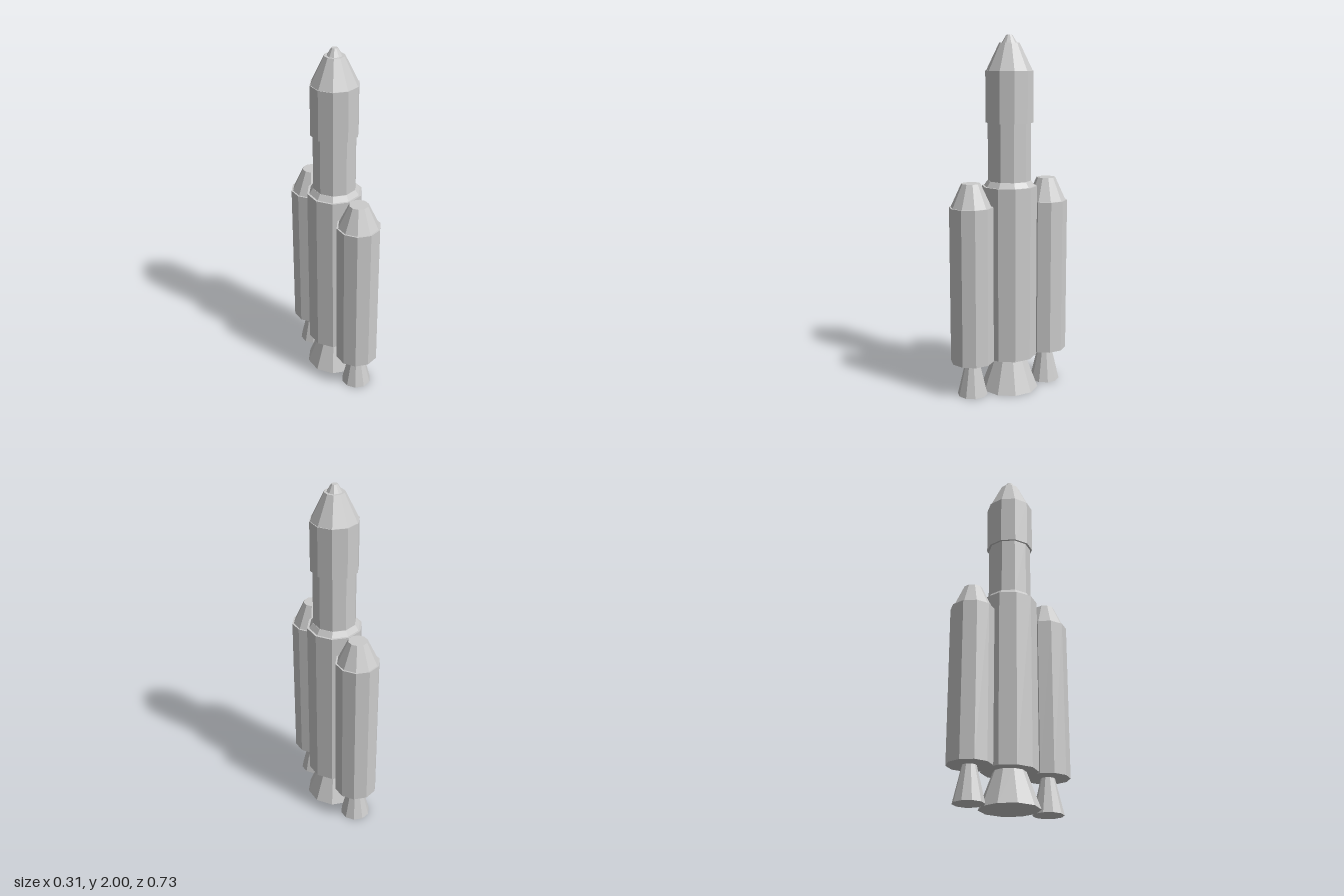
import * as THREE from 'three';

const SIDES = 10;
const material = new THREE.MeshStandardMaterial({ color: 0xcccccc, flatShading: true });

// Capped ten-sided section between two heights, one corner facing +z
function section(name, y0, y1, r0, r1) {
  const mesh = new THREE.Mesh(new THREE.CylinderGeometry(r1, r0, y1 - y0, SIDES), material);
  mesh.name = name;
  mesh.position.y = (y0 + y1) / 2;
  return mesh;
}

// Side booster: nozzle, tank and blunt nose standing just inside the tank rim
function createBooster(name, z) {
  const booster = new THREE.Group();
  booster.name = name;
  booster.position.z = z;
  booster.add(
    section('boosterNozzle', 0, 0.2, 0.085, 0.038),
    section('boosterTank', 0.197, 1.08, 0.122, 0.122),
    section('boosterNose', 1.08, 1.21, 0.113, 0.053),
  );
  return booster;
}

export function createModel() {
  const rocket = new THREE.Group();
  rocket.name = 'rocket';

  // Central stack from the engine bell to the tip
  const core = new THREE.Group();
  core.name = 'core';
  core.add(
    section('coreNozzle', 0, 0.2, 0.164, 0.088),
    section('coreTank', 0.197, 1.18, 0.154, 0.154),
    section('stageAdapter', 1.18, 1.21, 0.142, 0.122),
    section('upperStage', 1.2, 1.54, 0.12, 0.12),
    section('fairing', 1.53, 1.81, 0.132, 0.132),
    section('fairingCone', 1.81, 1.96, 0.128, 0.055),
    section('noseTip', 1.96, 2, 0.041, 0.017),
  );
  rocket.add(core);

  // Boosters in front of and behind the core
  rocket.add(createBooster('frontBooster', 0.242), createBooster('backBooster', -0.242));
  return rocket;
}
